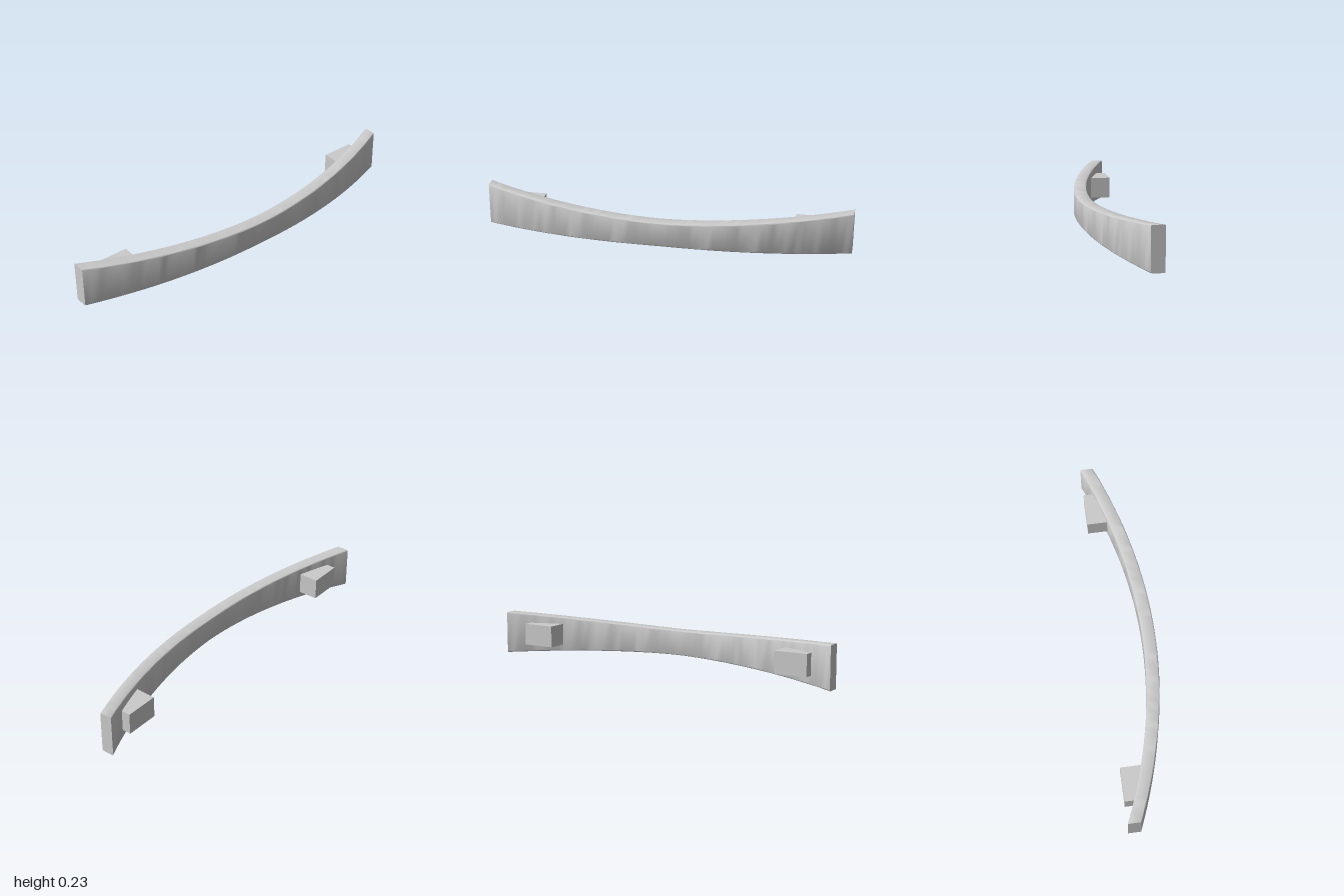
import * as THREE from 'three';
import { toCreasedNormals } from 'three/addons/utils/BufferGeometryUtils.js';

const MID_Y = 0.117;    // height of the centre line
const HALF_H = 0.067;   // half height at the middle
const FLARE = 0.048;    // extra half height at the ends
const BOW = 0.21;       // how far the ends sweep back

// Rounded rectangle, centred on the origin
function roundedRect(w, h, r) {
  const s = new THREE.Shape();
  const x = w / 2 - r, y = h / 2 - r;
  s.absarc(x, y, r, 0, Math.PI / 2);
  s.absarc(-x, y, r, Math.PI / 2, Math.PI);
  s.absarc(-x, -y, r, Math.PI, Math.PI * 1.5);
  s.absarc(x, -y, r, Math.PI * 1.5, Math.PI * 2);
  s.closePath();
  return s;
}

// Straight bar, then bowed forward and flared towards both ends
function gripGeometry() {
  const geo = new THREE.ExtrudeGeometry(roundedRect(0.07, HALF_H * 2, 0.007), {
    depth: 2, steps: 64, bevelEnabled: false, curveSegments: 4,
  });
  geo.translate(0, 0, -1);
  geo.rotateY(Math.PI / 2);
  const p = geo.attributes.position;
  for (let i = 0; i < p.count; i++) {
    const x = p.getX(i), y = p.getY(i), z = p.getZ(i);
    const flare = FLARE * Math.pow(Math.abs(x), 1.5);
    p.setY(i, MID_Y + y + Math.sign(y) * flare);
    p.setZ(i, z + 0.104 - BOW * x * x);
  }
  return toCreasedNormals(geo, 0.6);
}

export function createModel() {
  const group = new THREE.Group();
  const material = new THREE.MeshStandardMaterial({ color: 0xcccccc });

  const grip = new THREE.Mesh(gripGeometry(), material);
  grip.name = 'curvedGrip';
  group.add(grip);

  // Mounting posts behind each end
  for (const side of [-1, 1]) {
    const post = new THREE.Mesh(new THREE.BoxGeometry(0.18, 0.117, 0.115), material);
    post.name = side > 0 ? 'leftMountingPost' : 'rightMountingPost';
    post.position.set(side * 0.782, MID_Y, -0.0825);
    group.add(post);
  }
  return group;
}
